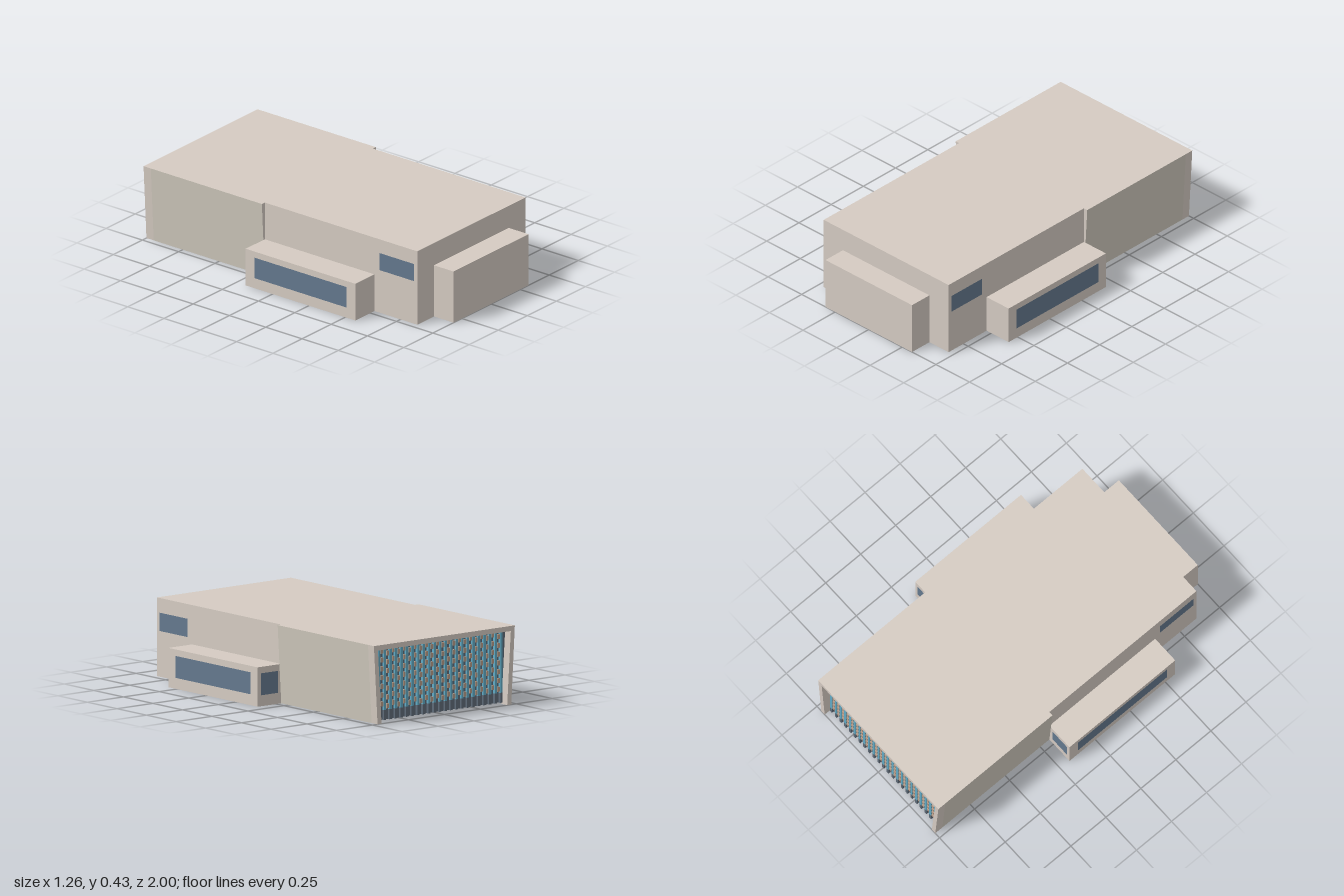
import * as THREE from 'three';

const mat = (name, color, side = THREE.FrontSide) =>
  Object.assign(new THREE.MeshStandardMaterial({ color, side }), { name });

export function createModel() {
  const group = new THREE.Group();
  const wall = mat('stone wall', 0xd5cbc2, THREE.DoubleSide);
  const hallWall = mat('grey stone wall', 0xcec8bc, THREE.DoubleSide);
  const glass = mat('window glass', 0x64798e);
  const slate = mat('dark slate', 0x5f6b78, THREE.DoubleSide);
  const blue = mat('blue fin', 0x62abc6);
  const tan = mat('tan block', 0xb89c88);
  const red = mat('red dome', 0xc6594f, THREE.DoubleSide);

  const add = (name, geometry, material) => {
    const mesh = new THREE.Mesh(geometry, material);
    mesh.name = name;
    group.add(mesh);
    return mesh;
  };

  // Box given by its limits
  const box = (x0, x1, y0, y1, z0, z1) =>
    new THREE.BoxGeometry(x1 - x0, y1 - y0, z1 - z0)
      .translate((x0 + x1) / 2, (y0 + y1) / 2, (z0 + z1) / 2);

  // Keep only some sides of a box: 0 +x, 1 -x, 2 top, 3 bottom, 4 +z, 5 -z
  const keepSides = (geometry, sides) => {
    const index = Array.from(geometry.index.array);
    geometry.setIndex(sides.flatMap((s) => index.slice(s * 6, s * 6 + 6)));
    geometry.clearGroups();
    return geometry;
  };

  // Hall with side walls leaning outward, open below and at the back
  const H = 0.43, top = 0.49, foot = 0.465, joint = -0.185, lip = -0.95;
  const hallSides = (sides) => {
    const hall = keepSides(box(-1, 1, 0, H, lip, joint), sides);
    const p = hall.attributes.position;
    for (let i = 0; i < p.count; i++) {
      p.setX(i, p.getX(i) * (p.getY(i) > 0.1 ? top : foot));
    }
    hall.computeVertexNormals();
    return hall;
  };
  add('hallSideWalls', hallSides([0, 1]), hallWall);
  add('hallRoofAndEndWall', hallSides([2, 4]), wall);

  // Frame around the recessed back facade
  const t = 0.028;
  const outline = (points) => new THREE.Shape(points.map(([x, y]) => new THREE.Vector2(x, y)));
  const frame = outline([
    [-foot, 0], [-top, H], [top, H], [foot, 0],
    [foot - t, 0], [top - t, H - t], [t - top, H - t], [t - foot, 0],
  ]);
  add('facadeFrame', new THREE.ExtrudeGeometry(frame, { depth: lip + 1, bevelEnabled: false })
    .translate(0, 0, -1), wall);

  // Facade screen: backing, upright fins with dark feet, rows of small blocks
  const backing = outline([
    [t - foot, 0.01], [foot - t, 0.01], [top - t, H - t], [t - top, H - t],
  ]);
  add('facadeBacking', new THREE.ShapeGeometry(backing).translate(0, 0, lip - 0.002), slate);
  const columns = 23, rows = 7, pitch = 0.0385;
  const finGeo = new THREE.BoxGeometry(0.015, 0.335, 0.014);
  const footGeo = new THREE.BoxGeometry(0.015, 0.055, 0.014);
  const blockGeo = new THREE.BoxGeometry(0.016, 0.026, 0.014);
  for (let c = 0; c < columns; c++) {
    const x = (c - (columns - 1) / 2) * pitch;
    add('facadeFin', finGeo, blue).position.set(x, 0.2325, lip - 0.01);
    add('facadeFinFoot', footGeo, slate).position.set(x, 0.0375, lip - 0.01);
    if (c === columns - 1) continue;
    for (let r = 0; r < rows; r++) {
      add('facadeBlock', blockGeo, tan)
        .position.set(x + pitch / 2, 0.085 + r * 0.048 + (c % 2) * 0.014, lip - 0.01);
    }
  }

  // Dome standing inside the hall
  add('dome', new THREE.SphereGeometry(0.224, 40, 16, 0, Math.PI * 2, 0, Math.PI / 2)
    .translate(0, 0.05, -0.565), red);

  // Central and front rooms, and the low entrance block, all open below
  add('middleRoom', keepSides(box(-foot, foot, 0, H, joint, 0.57), [0, 1, 2, 4]), wall);
  add('frontRoom', keepSides(box(-foot, foot, 0, H, 0.57, 0.865), [0, 1, 2, 4]), wall);
  add('entranceBlock', keepSides(box(-0.322, 0.322, 0, 0.3, 0.865, 1), [0, 1, 2, 4]), wall);

  // Side wings on both sides, with window panes lying just off the walls
  const wing = 0.629, gap = 0.001;
  for (const s of [1, -1]) {
    const [x0, x1] = s > 0 ? [foot, wing] : [-wing, -foot];
    add('sideWing', keepSides(box(x0, x1, 0, 0.215, joint, 0.57), [s > 0 ? 0 : 1, 2, 4, 5]), wall);

    const sidePane = (name, x, y0, y1, z0, z1) =>
      add(name, new THREE.PlaneGeometry(z1 - z0, y1 - y0).rotateY(s * Math.PI / 2)
        .translate(s * (x + gap), (y0 + y1) / 2, (z0 + z1) / 2), glass);
    sidePane('wingWindow', wing, 0.06, 0.18, -0.125, 0.51);
    sidePane('frontRoomWindow', foot, 0.25, 0.35, 0.605, 0.842);

    add('wingBackWindow', new THREE.PlaneGeometry(0.118, 0.12).rotateY(Math.PI)
      .translate(s * 0.549, 0.12, joint - gap), glass);
  }
  return group;
}
